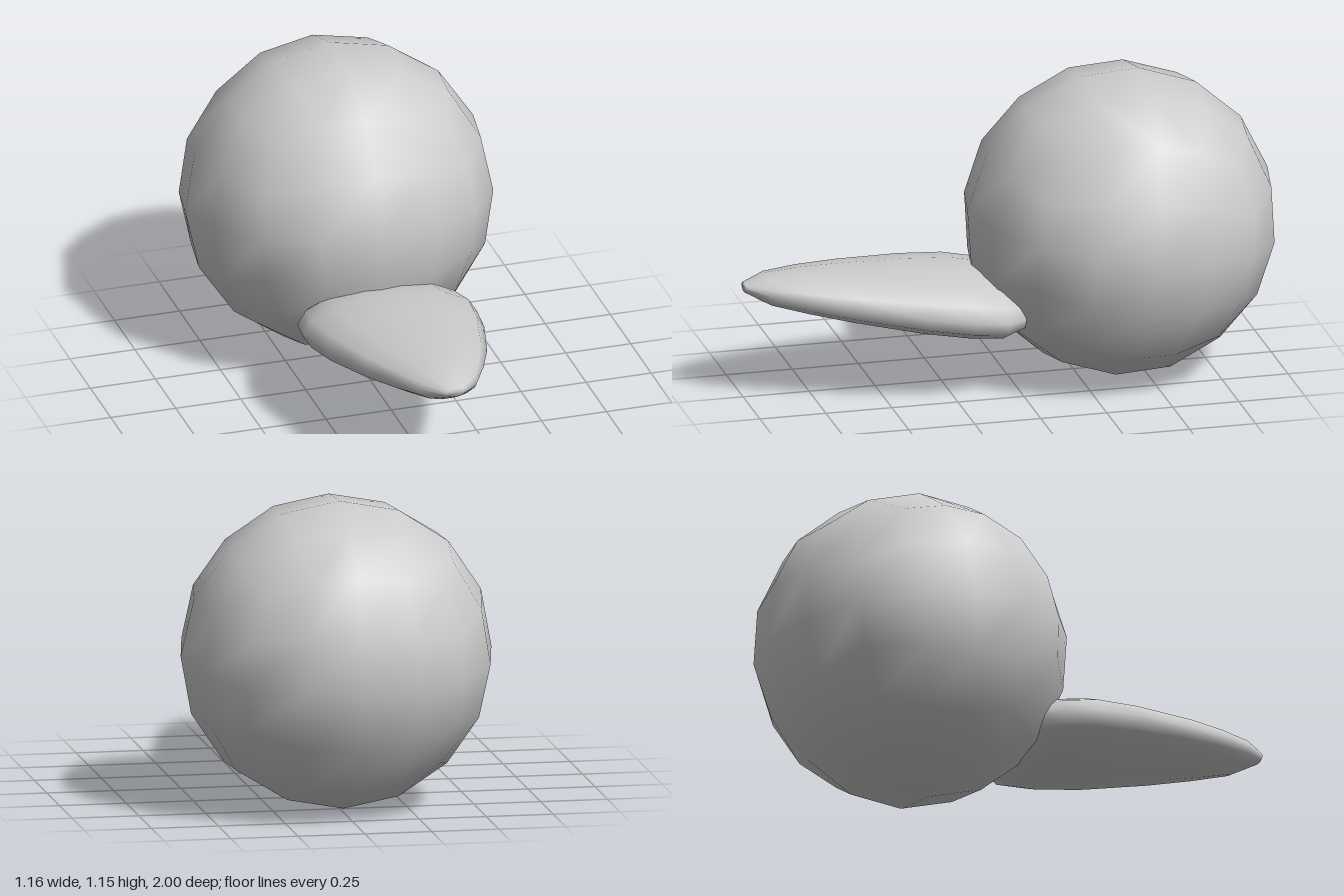
import * as THREE from 'three';
import { mergeVertices } from 'three/addons/utils/BufferGeometryUtils.js';

// Ball made from a cube grid pushed out to a sphere, with smooth normals
function cubeSphere(radius, segments) {
  let geo = new THREE.BoxGeometry(2, 2, 2, segments, segments, segments);
  geo.deleteAttribute('uv');
  geo.deleteAttribute('normal');
  geo = mergeVertices(geo);
  const pos = geo.attributes.position;
  const v = new THREE.Vector3();
  const spread = (t) => Math.tan(t * Math.PI / 4);
  for (let i = 0; i < pos.count; i++) {
    v.fromBufferAttribute(pos, i);
    v.set(spread(v.x), spread(v.y), spread(v.z)).setLength(radius);
    pos.setXYZ(i, v.x, v.y, v.z);
  }
  geo.computeVertexNormals();
  return geo;
}

// Closed skin over elliptical sections [z, halfWidth, bottom, top], back to front
function loft(sections, sides, cx) {
  const points = [], index = [];
  for (const [z, w, bottom, top] of sections) {
    for (let j = 0; j < sides; j++) {
      const a = (j / sides) * Math.PI * 2;
      points.push(cx + w * Math.cos(a), (top + bottom) / 2 + ((top - bottom) / 2) * Math.sin(a), z);
    }
  }
  for (let i = 0; i < sections.length - 1; i++) {
    for (let j = 0; j < sides; j++) {
      const k = (j + 1) % sides;
      const a = i * sides + j, b = i * sides + k;
      index.push(a, b, b + sides, a, b + sides, a + sides);
    }
  }
  // Flat fans close both ends
  const last = (sections.length - 1) * sides;
  for (let j = 1; j < sides - 1; j++) {
    index.push(0, j + 1, j, last, last + j, last + j + 1);
  }
  const geo = new THREE.BufferGeometry();
  geo.setAttribute('position', new THREE.Float32BufferAttribute(points, 3));
  geo.setIndex(index);
  geo.computeVertexNormals();
  return geo;
}

export function createModel() {
  const group = new THREE.Group();
  const material = new THREE.MeshStandardMaterial({ color: 0xcccccc });

  // Round head, tipped slightly back
  const head = new THREE.Mesh(cubeSphere(0.58, 4), material);
  head.name = 'head';
  head.position.set(0, 0.577, -0.425);
  head.rotation.x = -0.13;
  group.add(head);

  // Flat tapering beak, its root sunk into the head
  const beak = new THREE.Mesh(loft([
    [-0.09, 0.1, 0.26, 0.34],
    [-0.02, 0.24, 0.215, 0.39],
    [0.07, 0.315, 0.192, 0.432],
    [0.2, 0.335, 0.208, 0.456],
    [0.37, 0.31, 0.237, 0.469],
    [0.62, 0.242, 0.292, 0.478],
    [0.78, 0.178, 0.33, 0.481],
    [0.91, 0.115, 0.365, 0.476],
    [1.0, 0.035, 0.415, 0.45],
  ], 14, 0.011), material);
  beak.name = 'beak';
  group.add(beak);

  return group;
}
